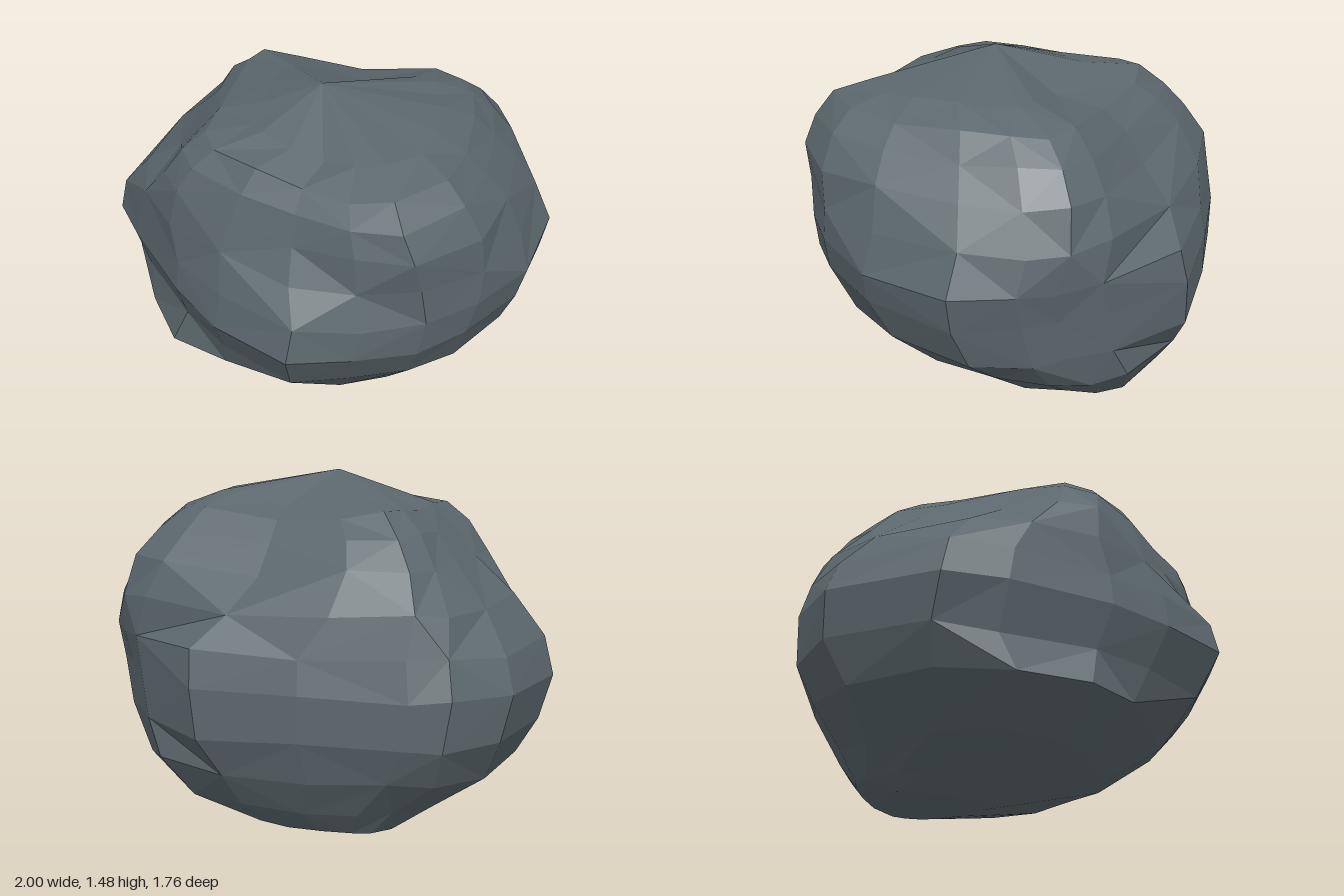
import * as THREE from 'three';

// Plan outlines, anticlockwise from the front tip: [x, z]
// Underside: broad and rounded
const BASE = [
  [0, 0.85], [0.28, 0.88], [0.52, 0.8], [0.74, 0.58], [0.93, 0.25],
  [1, -0.1], [0.96, -0.38], [0.88, -0.58], [0.75, -0.74], [0.33, -0.88],
  [-0.12, -0.88], [-0.5, -0.83], [-0.72, -0.75], [-0.92, -0.5],
  [-1, -0.05], [-0.93, 0.35], [-0.73, 0.67], [-0.38, 0.82],
];
// Waist: pointed at the front, full at the back right
const BODY = [
  [0, 0.88], [0.26, 0.82], [0.51, 0.72], [0.7, 0.57], [0.9, 0.3],
  [1, -0.1], [0.9, -0.35], [0.8, -0.47], [0.67, -0.63], [0.33, -0.88],
  [-0.12, -0.87], [-0.55, -0.82], [-0.71, -0.78], [-0.91, -0.59],
  [-1, -0.1], [-0.85, 0.13], [-0.56, 0.49], [-0.34, 0.69],
];
// Crown: full at the front left and back right
const CROWN = [
  [-0.16, 0.74], [0.2, 0.85], [0.52, 0.88], [0.86, 0.62], [0.97, 0.28],
  [1, -0.15], [0.97, -0.45], [0.88, -0.66], [0.64, -0.76], [0.02, -0.8],
  [-0.52, -0.88], [-0.84, -0.85], [-0.93, -0.69], [-0.96, -0.4],
  [-0.97, 0.02], [-1, 0.31], [-0.88, 0.48], [-0.52, 0.64],
];

// Extents of each layer: [y, xMin, xMax, zMin, zMax]
const LAYERS = [
  [0.05, -0.45, 0.2, -0.66, -0.15],
  [0.15, -0.62, 0.55, -0.74, 0.34],
  [0.3, -0.86, 0.74, -0.82, 0.59],
  [0.46, -0.95, 0.91, -0.88, 0.77],
  [0.65, -1, 0.97, -0.88, 0.88],
  [0.8, -0.96, 1, -0.85, 0.86],
  [0.96, -0.83, 0.92, -0.8, 0.8],
  [1.12, -0.65, 0.82, -0.69, 0.77],
  [1.24, -0.55, 0.72, -0.6, 0.73],
  [1.33, -0.45, 0.63, -0.5, 0.66],
  [1.39, -0.25, 0.5, -0.28, 0.5],
];
const LOWEST = [-0.37, 0, -0.44];
const PEAK = [0, 1.48, 0.07];

function createBoulderGeometry() {
  const { lerp, mapLinear, smoothstep } = THREE.MathUtils;
  const n = BODY.length;
  const points = [];
  const faces = [];

  // Blend the outlines by height and fit them into every layer
  LAYERS.forEach(([y, x0, x1, z0, z1], i) => {
    const body = smoothstep(y, 0.25, 0.5);
    const crown = smoothstep(y, 0.72, 1.2);
    for (let j = 0; j < n; j++) {
      const [planX, planZ] = [0, 1].map((axis) =>
        lerp(lerp(BASE[j][axis], BODY[j][axis], body), CROWN[j][axis], crown));
      const x = mapLinear(planX, -1, 1, x0, x1);
      const z = mapLinear(planZ, -0.88, 0.88, z0, z1);
      // Slight waviness, and dips in the front and back rim of the crown
      const wave = i > 0 ? 0.01 * Math.sin(j * 2.1 + i * 1.7) : 0;
      const dip = Math.abs(z) > 0.2 ? 0.05 * crown * Math.exp(-15 * (x - 0.05) ** 2) : 0;
      points.push(x, y + wave - dip, z);
    }
  });
  points.push(...LOWEST, ...PEAK);
  const lowest = LAYERS.length * n;
  const peak = lowest + 1;
  const top = (LAYERS.length - 1) * n;

  for (let j = 0; j < n; j++) {
    const k = (j + 1) % n;
    // Sides, with alternating diagonals for irregular facets
    for (let i = 0; i < LAYERS.length - 1; i++) {
      const a = i * n + j, b = i * n + k, c = b + n, d = a + n;
      if ((i + j) % 2) faces.push(a, b, c, a, c, d);
      else faces.push(a, b, d, b, c, d);
    }
    // Underside and crown
    faces.push(lowest, k, j);
    faces.push(peak, top + j, top + k);
  }

  const geometry = new THREE.BufferGeometry();
  geometry.setAttribute('position', new THREE.Float32BufferAttribute(points, 3));
  geometry.setIndex(faces);
  const faceted = geometry.toNonIndexed();
  faceted.computeVertexNormals();
  return faceted;
}

export function createModel() {
  const group = new THREE.Group();
  group.name = 'rock';
  const material = new THREE.MeshStandardMaterial({ color: 0x5b676d, flatShading: true });
  const boulder = new THREE.Mesh(createBoulderGeometry(), material);
  boulder.name = 'boulder';
  group.add(boulder);
  return group;
}
